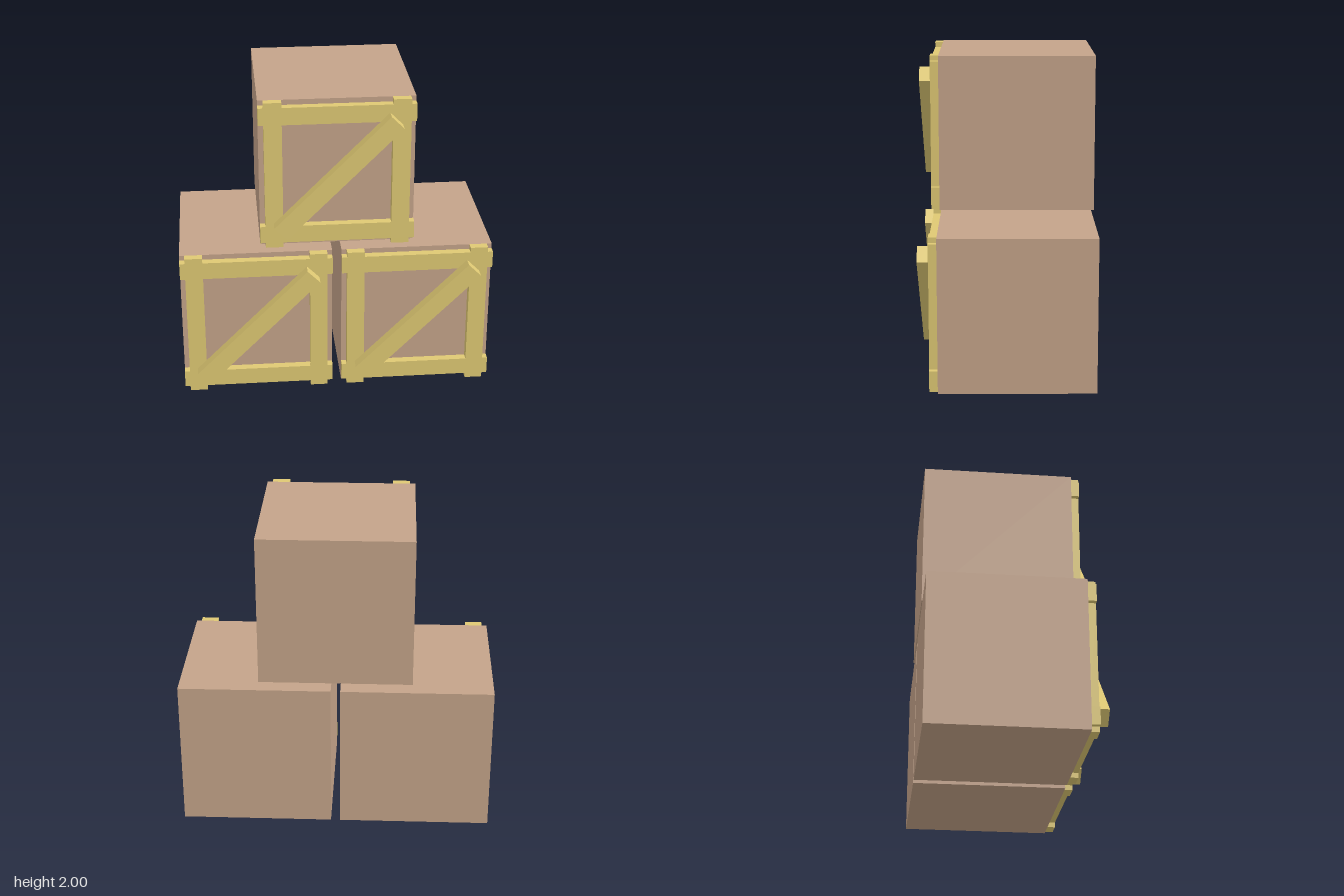
import * as THREE from 'three';

const SIZE = 0.97, HALF = SIZE / 2;
const BACK = -0.547, FACE = BACK + SIZE; // z of the crate's back and front faces
const FRAME_DEPTH = 0.052, BRACE_DEPTH = 0.072;

const boxMaterial = new THREE.MeshStandardMaterial({ color: 0xc4a389 });
const plankMaterial = new THREE.MeshStandardMaterial({ color: 0xdec873 });

// Four crossing planks as one outline: a corner repeated by quarter turns, with a square hole
function frameGeometry() {
  const inner = 0.34, outer = 0.452;
  const corner = [[inner, outer], [inner, HALF], [outer, HALF], [outer, outer],
    [HALF, outer], [HALF, inner], [outer, inner]];
  const points = [];
  for (let q = 0; q < 4; q++) {
    for (const [x, y] of corner) {
      points.push(new THREE.Vector2(x, y).rotateAround(new THREE.Vector2(), -q * Math.PI / 2));
    }
  }
  const shape = new THREE.Shape(points);
  shape.holes.push(new THREE.Path([[-1, -1], [1, -1], [1, 1], [-1, 1]]
    .map(([x, y]) => new THREE.Vector2(x * inner, y * inner))));
  return new THREE.ExtrudeGeometry(shape, { depth: FRAME_DEPTH, bevelEnabled: false });
}

function addPart(group, name, geometry, material, z) {
  const mesh = new THREE.Mesh(geometry, material);
  mesh.name = name;
  mesh.position.z = z;
  group.add(mesh);
  return mesh;
}

export function createModel() {
  const model = new THREE.Group();
  model.name = 'crateStack';
  const box = new THREE.BoxGeometry(SIZE, SIZE, SIZE);
  const frame = frameGeometry();
  const brace = new THREE.BoxGeometry(1.018, 0.113, BRACE_DEPTH);

  // Two crates side by side, one on top
  const places = [['rightCrate', -0.515, HALF], ['leftCrate', 0.515, HALF], ['topCrate', 0, 2 - HALF]];
  for (const [name, x, y] of places) {
    const crate = new THREE.Group();
    crate.name = name;
    crate.position.set(x, y, 0);
    addPart(crate, 'crateBox', box, boxMaterial, BACK + HALF);
    addPart(crate, 'frontFrame', frame, plankMaterial, FACE);
    // Diagonal plank lying on the frame
    const diagonal = addPart(crate, 'diagonalBrace', brace, plankMaterial, FACE + FRAME_DEPTH + BRACE_DEPTH / 2);
    diagonal.rotation.z = Math.PI / 4;
    model.add(crate);
  }
  return model;
}
